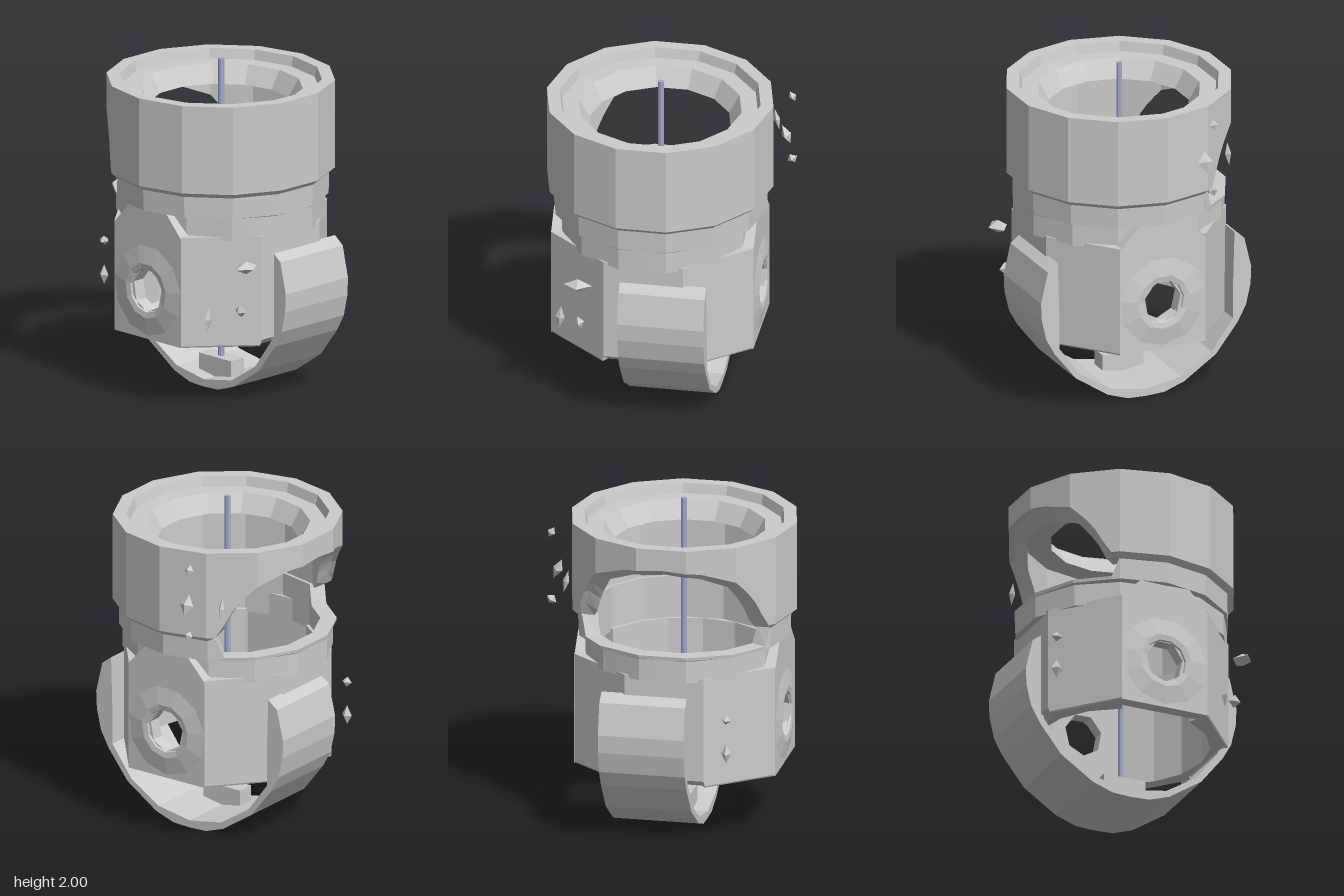
import * as THREE from 'three';

const CX = -0.06; // axis of the round housing
const grey = new THREE.MeshStandardMaterial({ color: 0xcccccc, flatShading: true, side: THREE.DoubleSide });
const steel = new THREE.MeshStandardMaterial({ color: 0xa0a8cc, flatShading: true });

function add(parent, name, geometry, x = 0, y = 0, z = 0, material = grey) {
  const mesh = new THREE.Mesh(geometry, material);
  mesh.name = name;
  mesh.position.set(x, y, z);
  parent.add(mesh);
  return mesh;
}

// Sweeps a closed (radius, y) section, which may vary with the angle, around the y axis.
function sweep(angles, section, capped = false) {
  const pos = [], index = [];
  const m = section(angles[0]).length;
  angles.forEach((a, j) => {
    for (const [r, y] of section(a)) pos.push(r * Math.sin(a), y, r * Math.cos(a));
    if (j === angles.length - 1) return;
    for (let i = 0; i < m; i++) {
      const p = j * m + i, q = j * m + (i + 1) % m;
      index.push(p, q, p + m, q, q + m, p + m);
    }
  });
  if (capped) {
    const e = (angles.length - 1) * m;
    for (let i = 1; i < m - 1; i++) index.push(0, i + 1, i, e, e + i, e + i + 1);
  }
  const g = new THREE.BufferGeometry();
  g.setAttribute('position', new THREE.Float32BufferAttribute(pos, 3));
  g.setIndex(index);
  const flat = g.toNonIndexed();
  flat.computeVertexNormals();
  return flat;
}

// Fourteen-sided outline with flats at front and back.
const STEP = Math.PI / 7;
function facet(a) {
  const local = ((a + STEP / 2 + 4 * Math.PI) % STEP) - STEP / 2;
  return Math.cos(STEP / 2) / Math.cos(local);
}
const round = Array.from({ length: 85 }, (_, i) => (i / 84) * Math.PI * 2);
const fromBack = a => Math.abs(a - Math.PI) * 180 / Math.PI;

// Lower edge of the upper ring: arched over the opening at the back.
function archY(a) {
  const d = fromBack(a);
  const keys = [[0, 1.76], [20, 1.74], [39, 1.67], [50, 1.54], [61, 1.32]];
  for (let i = 0; i < 4; i++) {
    const [d0, y0] = keys[i], [d1, y1] = keys[i + 1];
    if (d <= d1) return y0 + (y1 - y0) * (d - d0) / (d1 - d0);
  }
  return 1.32;
}

function upperRing(a) {
  const k = facet(a), b = archY(a);
  return [
    [0.683, 1.89], [0.683, Math.max(b, 1.35)], [0.65, b], [0.57, Math.max(b - 0.06, 1.32)],
    [0.57, 1.72], [0.425, 1.72], [0.49, 1.83], [0.59, 1.83], [0.605, 1.89],
  ].map(([r, y]) => [r * k, y]);
}

function middleRing(a) {
  const k = facet(a), top = fromBack(a) < 60 ? 1.21 : 1.33;
  const low = 0.645 - 0.05 * Math.sin(a) ** 2;
  return [[0.648, top], [0.645, 1.19], [low, 1.185], [low, 1.05], [0.55, 1.05], [0.55, top]]
    .map(([r, y]) => [r * k, y]);
}

// Octagonal lower body, front half-shell, with a bevelled bottom edge on the flat.
function bodyShell(a) {
  const s = Math.abs(Math.sin(a)), c = Math.abs(Math.cos(a));
  const R = Math.min(0.61 / Math.max(s, 0.01), 0.59 / c, 0.2927 / (0.31 * s + 0.37 * c));
  const bevel = Math.abs(a) < 0.39;
  return [[R, 1.07], [R, bevel ? 0.43 : 0.4], [R - (bevel ? 0.05 : 0.005), 0.39], [0.53, 0.39], [0.53, 1.07]];
}

function sidePanel() {
  const s = new THREE.Shape([[-0.28, 0.39], [0.28, 0.39], [0.28, 1.06], [0.16, 1.19], [-0.16, 1.19], [-0.28, 1.06]]
    .map(p => new THREE.Vector2(...p)));
  const hole = new THREE.Path();
  for (let i = 0; i < 7; i++) {
    const t = i / 7 * Math.PI * 2 + 0.2;
    hole[i ? 'lineTo' : 'moveTo'](0.12 * Math.cos(t), 0.69 + 0.135 * Math.sin(t));
  }
  hole.closePath();
  s.holes.push(hole);
  return new THREE.ExtrudeGeometry(s, { depth: 0.08, bevelEnabled: false });
}

// U-shaped band, drawn in (z, y) and mirrored front to back.
function strapGeometry() {
  const outer = [[0.58, 0.95], [0.645, 0.9], [0.69, 0.71], [0.685, 0.6], [0.655, 0.47], [0.6, 0.37], [0.46, 0.19], [0.25, 0.05], [0.12, 0.005], [0, 0]];
  const inner = [[0, 0.045], [0.23, 0.085], [0.43, 0.21], [0.57, 0.4], [0.57, 0.6]];
  const flip = list => list.map(([z, y]) => [-z, y]).reverse();
  const loop = [...outer, ...flip(outer).slice(1), ...flip(inner), ...inner.slice(1)];
  // flip(inner) runs from the raised end to the middle, so it needs the back wall first
  const shape = new THREE.Shape(loop.map(([z, y]) => new THREE.Vector2(z, y)));
  const g = new THREE.ExtrudeGeometry(shape, { depth: 0.52, bevelEnabled: false });
  return g.rotateY(-Math.PI / 2).translate(0.32, 0, 0);
}

export function createModel() {
  const model = new THREE.Group();
  model.name = 'brokenHousing';

  // Stacked rings with the opening at the back
  add(model, 'upperRing', sweep(round, upperRing), CX);
  add(model, 'middleRing', sweep(round, middleRing), CX);

  // Lower body: two shells joined by the pierced side panels
  const arc = [-1.141, -0.76, -0.4, -0.386, 0, 0.386, 0.4, 0.76, 1.141];
  for (const turn of [0, Math.PI]) {
    add(model, turn ? 'bodyBack' : 'bodyFront', sweep(arc, bodyShell, true), CX).rotation.y = turn;
  }
  const bossProfile = [[0.125, -0.02], [0.135, 0.012], [0.17, 0.018], [0.28, 0]].map(p => new THREE.Vector2(...p));
  for (const side of [1, -1]) {
    const group = new THREE.Group();
    group.name = side > 0 ? 'leftSide' : 'rightSide';
    group.position.x = CX;
    group.rotation.y = side * Math.PI / 2;
    add(group, 'sidePanel', sidePanel(), 0, 0, 0.53);
    add(group, 'portBoss', new THREE.LatheGeometry(bossProfile, 11), 0, 0.69, 0.61).rotation.x = Math.PI / 2;
    model.add(group);
  }

  // Strap under the body
  add(model, 'strap', strapGeometry());

  // Central rod on its block
  add(model, 'rodBlock', new THREE.BoxGeometry(0.11, 0.13, 0.27), -0.055, 0.1, 0);
  add(model, 'rod', new THREE.CylinderGeometry(0.018, 0.018, 1.86, 8), -0.056, 1.07, 0, steel);

  // Loose shards: position, size, tilt
  const shards = [
    [0.69, 1.82, -0.27, 0.025, 0.035, 0.03, 0.5],
    [0.66, 1.58, -0.23, 0.03, 0.065, 0.05, 0.4],
    [0.69, 1.4, -0.265, 0.035, 0.03, 0.03, 0.6],
    [0.57, 1.57, -0.42, 0.02, 0.07, 0.02, 0.2],
    [-0.45, 0.91, 0.61, 0.085, 0.04, 0.06, 0],
    [-0.59, 0.58, 0.43, 0.03, 0.075, 0.02, -0.1],
    [-0.45, 0.63, 0.56, 0.03, 0.04, 0.04, 0.3],
    [0.15, 0.7, 0.66, 0.08, 0.05, 0.03, -0.3],
    [0.15, 0.7, -0.66, 0.08, 0.05, 0.03, 0.3],
    [-0.44, 0.83, -0.6, 0.03, 0.03, 0.035, 0.2],
    [-0.44, 0.62, -0.6, 0.03, 0.06, 0.035, 0],
  ];
  shards.forEach(([x, y, z, sx, sy, sz, tilt], i) => {
    const shard = add(model, `shard${i + 1}`, new THREE.OctahedronGeometry(1), x, y, z);
    shard.scale.set(sx, sy, sz);
    shard.rotation.z = tilt;
  });
  return model;
}
